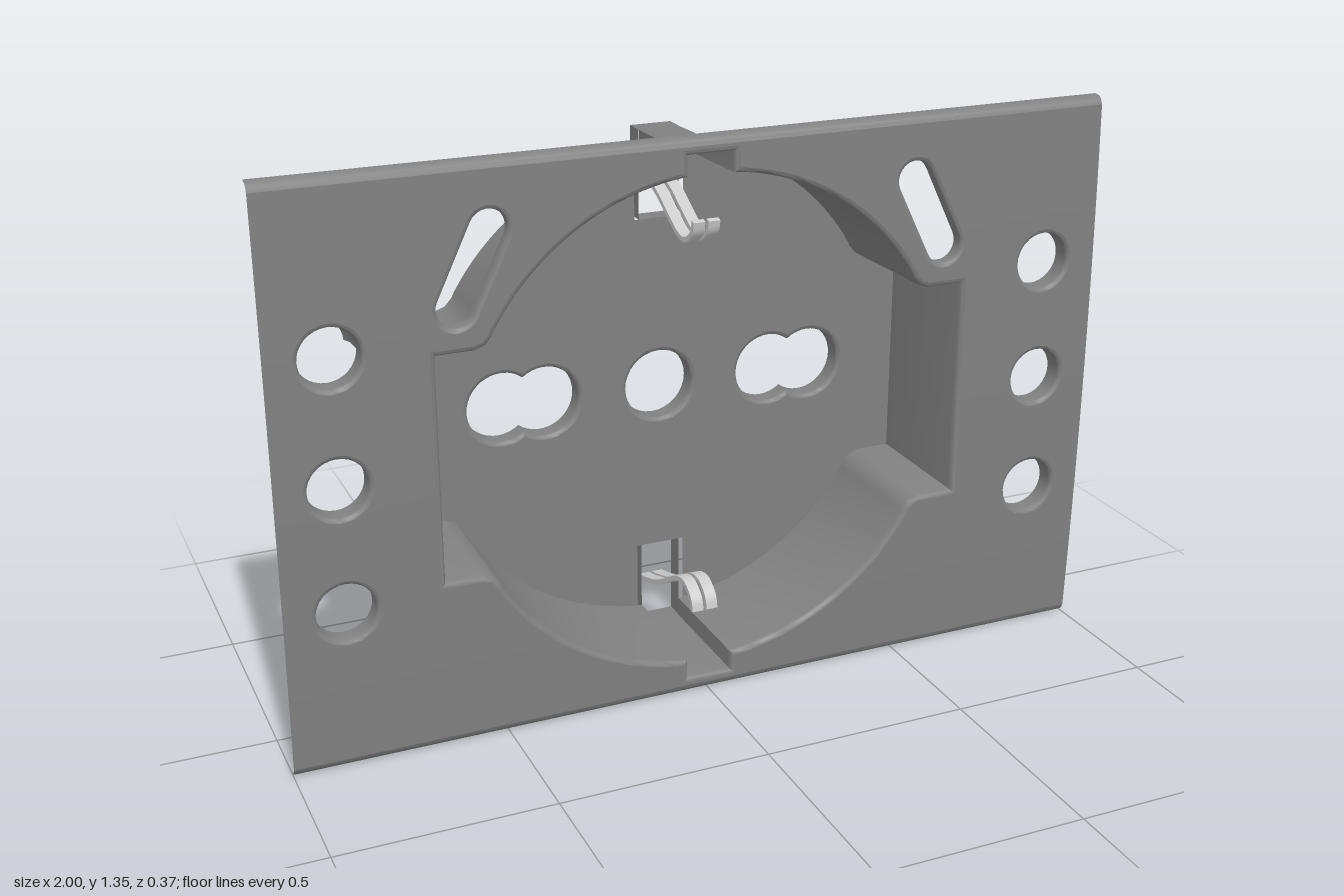
import * as THREE from 'three';
import { toCreasedNormals } from 'three/addons/utils/BufferGeometryUtils.js';

const CY = 0.672, FLOOR = -0.122, BACK = -0.17, DRAFT = -0.006;
const bodyMaterial = new THREE.MeshStandardMaterial({ color: 0x808080, side: THREE.DoubleSide });
const contactMaterial = new THREE.MeshStandardMaterial({ color: 0xcccccc, side: THREE.DoubleSide });
// the cover sheet bulges slightly along its height
const plateZ = (y) => 0.188 - 0.012 * ((y - CY) / 0.645) ** 2;

function addMesh(parent, name, geometry, material = bodyMaterial) {
  const mesh = new THREE.Mesh(geometry, material);
  mesh.name = name;
  parent.add(mesh);
}

// arc points in degrees
function arc(cx, cy, r, a0, a1, n) {
  const pts = [];
  for (let i = 0; i <= n; i++) {
    const a = THREE.MathUtils.degToRad(a0 + (a1 - a0) * i / n);
    pts.push([cx + r * Math.cos(a), cy + r * Math.sin(a)]);
  }
  return pts;
}
const circle = (x, y, r) => arc(x, y, r, 0, 360, 32).slice(0, -1);

// grow a counter-clockwise outline by d with mitred corners
function offset(pts, d) {
  const n = pts.length;
  return pts.map((p, i) => {
    const a = pts[(i + n - 1) % n], b = pts[(i + 1) % n];
    const n1 = new THREE.Vector2(p[1] - a[1], a[0] - p[0]).normalize();
    const n2 = new THREE.Vector2(b[1] - p[1], p[0] - b[0]).normalize();
    const k = d / (1 + n1.dot(n2));
    return [p[0] + (n1.x + n2.x) * k, p[1] + (n1.y + n2.y) * k];
  });
}

// skin between rows of points
function loft(rows, closed) {
  const n = rows[0].length, index = [];
  for (let r = 0; r < rows.length - 1; r++) {
    for (let i = 0; i < (closed ? n : n - 1); i++) {
      const j = (i + 1) % n, a = r * n + i, b = r * n + j;
      index.push(a, a + n, b, b, a + n, b + n);
    }
  }
  const g = new THREE.BufferGeometry();
  g.setAttribute('position', new THREE.Float32BufferAttribute(rows.flat(2), 3));
  g.setIndex(index);
  return toCreasedNormals(g, 0.7);
}

// wall around an opening, with a rounded front lip of radius f
function collar(pts, zFront, zBack, f, draft = 0) {
  const rows = [0, 1, 2, 3].map((k) => {
    const a = k / 3 * Math.PI / 2;
    return offset(pts, f * (1 - Math.sin(a))).map(([x, y]) => [x, y, zFront(y) - f * (1 - Math.cos(a))]);
  });
  rows.push(offset(pts, draft).map(([x, y]) => [x, y, zBack]));
  return loft(rows, true);
}

// flat sheet with holes
function sheet(outline, holes) {
  const vec = (pts) => pts.map((p) => new THREE.Vector2(...p));
  const shape = new THREE.Shape(vec(outline));
  holes.forEach((h) => shape.holes.push(new THREE.Path(vec(h))));
  return new THREE.ShapeGeometry(shape);
}

// mirror a quarter outline (relative to the centre) into a full one
function fourfold(q) {
  const rev = [...q].reverse();
  return [
    ...q, ...rev.map(([x, y]) => [-x, y]),
    ...q.map(([x, y]) => [-x, -y]), ...rev.map(([x, y]) => [x, -y]),
  ].map(([x, y]) => [x, y + CY]);
}

// curved spring contact made of two side by side strips
function clip(side) {
  const group = new THREE.Group();
  const path = new THREE.SplineCurve([
    [-0.185, 0.14], [-0.13, 0.155], [-0.06, 0.18], [0.01, 0.22],
    [0.06, 0.245], [0.1, 0.248], [0.135, 0.225], [0.145, 0.195],
  ].map(([z, y]) => new THREE.Vector2(z, side > 0 ? 2 * CY - y : y)));
  const top = [], bottom = [];
  for (let i = 0; i <= 28; i++) {
    const p = path.getPoint(i / 28), t = path.getTangent(i / 28);
    top.push(new THREE.Vector2(p.x - t.y * 0.006, p.y + t.x * 0.006));
    bottom.unshift(new THREE.Vector2(p.x + t.y * 0.006, p.y - t.x * 0.006));
  }
  for (const x of [-0.004, 0.032]) {
    const g = new THREE.ExtrudeGeometry(new THREE.Shape([...top, ...bottom]), { depth: 0.028, bevelEnabled: false });
    g.rotateY(-Math.PI / 2).translate(x, 0, 0);
    addMesh(group, 'contactStrip', toCreasedNormals(g, 0.6), contactMaterial);
  }
  return group;
}

export function createModel() {
  const model = new THREE.Group();
  model.name = 'socketInsert';

  // outlines of the recess
  const shoulder = [[0.637, 0.263], [0.55, 0.263], [0.526, 0.272], [0.511, 0.289]];
  const curve = arc(0, 0, 0.588, 30.6, 84.65, 20);
  const wellOutline = fourfold([...shoulder, ...curve, [0.055, 0.633]]);
  const floorOutline = fourfold([...shoulder, ...curve, [0.055, 0.421]]);

  // openings in the cover plate
  const plateHoles = [];
  for (const s of [-1, 1]) {
    for (const y of [-0.29, 0, 0.29]) plateHoles.push({ name: 'screwHole', pts: circle(s * 0.86, CY + y, 0.067), back: 0.138 });
    const tilt = s * 26;
    plateHoles.push({
      name: 'slantedSlot', back: 0.152,
      pts: [...arc(s * 0.508, 1.195, 0.043, tilt, tilt + 180, 12), ...arc(s * 0.587, 1.033, 0.043, tilt + 180, tilt + 360, 12)],
    });
  }

  // cover plate, bent to its bulge
  const y0 = 0.02, y1 = 1.324, edge = [];
  for (let i = 0; i < 16; i++) edge.push([1, y0 + (y1 - y0) * i / 15]);
  const plateOutline = [...edge, ...[...edge].reverse().map(([x, y]) => [-x, y])];
  const plate = sheet(plateOutline, [offset(wellOutline, 0.012), ...plateHoles.map((h) => offset(h.pts, 0.01))]);
  const pos = plate.attributes.position, normal = plate.attributes.normal;
  for (let i = 0; i < pos.count; i++) {
    const y = pos.getY(i), v = new THREE.Vector3(0, 0.024 * (y - CY) / 0.645 ** 2, 1).normalize();
    pos.setZ(i, plateZ(y));
    normal.setXYZ(i, v.x, v.y, v.z);
  }
  addMesh(model, 'coverPlate', plate);

  // rolled top and bottom edges
  for (const s of [-1, 1]) {
    const rows = [[0.652, plateZ(y1)], [0.662, 0.172], [0.669, 0.165], [0.672, 0.156], [0.673, 0.146]]
      .map(([d, z]) => [[-s, CY + s * d, z], [s, CY + s * d, z]]);
    addMesh(model, 'rolledEdge', loft(rows, false));
  }
  for (const h of plateHoles) addMesh(model, h.name, collar(h.pts, plateZ, h.back, 0.01));

  // longer half sleeve behind the upper right screw hole
  const halfSleeve = [[0.067, 0.138], [0.065, 0.095], [0.056, 0.075]]
    .map(([r, z]) => arc(-0.86, CY + 0.29, r, 0, 180, 16).map((p) => [...p, z]));
  addMesh(model, 'halfSleeve', loft(halfSleeve, false));

  // recess wall with the grooves for the contacts
  addMesh(model, 'recessWall', collar(wellOutline, plateZ, FLOOR, 0.012, DRAFT));

  // recess floor with the pin openings
  const pair = [
    ...arc(0.0525, 0, 0.085, -128.14, 128.14, 28),
    ...arc(-0.0525, 0, 0.085, 51.86, 308.14, 28).slice(1, -1),
  ];
  const pinHoles = [circle(0, CY, 0.085), ...[-1, 1].map((s) => pair.map(([x, y]) => [x + s * 0.3425, y + CY]))];
  const floor = sheet(offset(floorOutline, DRAFT), pinHoles.map((p) => offset(p, 0.01)));
  addMesh(model, 'recessFloor', floor.translate(0, 0, FLOOR));
  for (const p of pinHoles) addMesh(model, 'pinCollar', collar(p, () => FLOOR, BACK, 0.01));

  // earth contacts in their rear sleeves
  for (const s of [-1, 1]) {
    const ring = [[-0.05, 0.415], [0.05, 0.415], [0.05, 0.627], [-0.05, 0.627]].map(([x, d]) => [x, CY + s * d]);
    addMesh(model, 'contactSleeve', loft([FLOOR, BACK].map((z) => ring.map((p) => [...p, z])), true));
    const contact = clip(s);
    contact.name = 'earthContact';
    model.add(contact);
  }
  return model;
}
